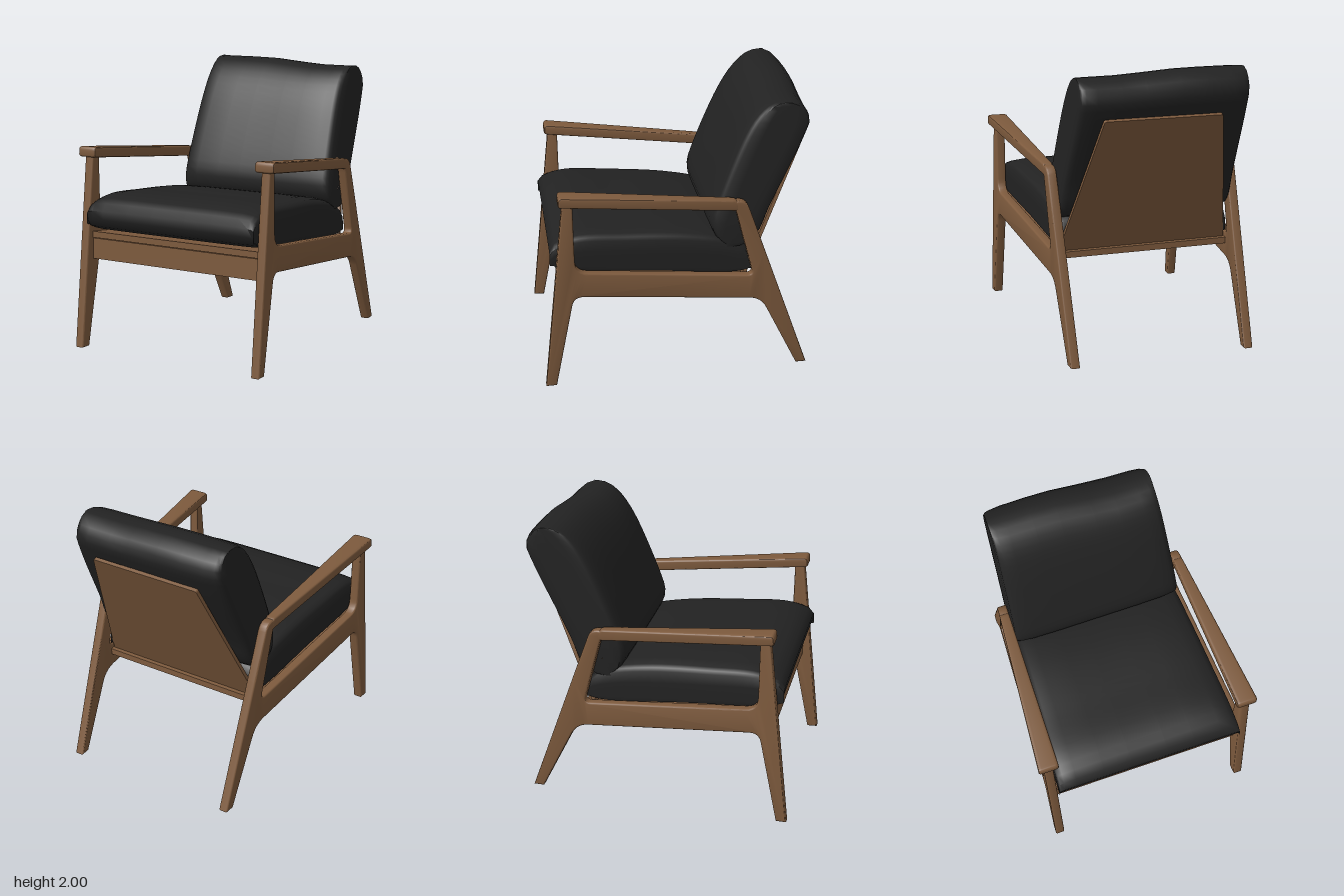
import * as THREE from 'three';
import { toCreasedNormals } from 'three/addons/utils/BufferGeometryUtils.js';

const lerp = THREE.MathUtils.lerp;

// Closed shape from [x, y, cornerRadius] points
function roundedShape(points) {
  const shape = new THREE.Shape();
  const n = points.length;
  points.forEach(([x, y, r = 0], i) => {
    const p = new THREE.Vector2(x, y);
    const toward = (q) => p.clone().add(new THREE.Vector2(q[0], q[1]).sub(p).setLength(r));
    const a = r ? toward(points[(i + n - 1) % n]) : p;
    if (i === 0) shape.moveTo(a.x, a.y);
    else shape.lineTo(a.x, a.y);
    if (r) {
      const b = toward(points[(i + 1) % n]);
      shape.quadraticCurveTo(x, y, b.x, b.y);
    }
  });
  shape.closePath();
  return shape;
}

// Side profile of [z, y, radius] points given a thickness that follows z,
// placed on the line where the sides converge toward the back
function sidePiece(profile, side, halfWidth, bevel) {
  const shape = roundedShape(profile.map(([z, y, r]) => [-z, y, r]));
  const geo = new THREE.ExtrudeGeometry(shape, {
    depth: 2 - 2 * bevel / 0.035, curveSegments: 6, bevelEnabled: true, bevelSegments: 3,
    bevelSize: bevel, bevelOffset: -bevel, bevelThickness: bevel / 0.035,
  });
  geo.translate(0, 0, -1 + bevel / 0.035);
  geo.rotateY(Math.PI / 2);
  const pos = geo.attributes.position;
  for (let i = 0; i < pos.count; i++) {
    const z = pos.getZ(i);
    pos.setX(i, side * (0.686 + 0.052 * z) + pos.getX(i) * halfWidth(z));
  }
  return toCreasedNormals(geo, 0.6);
}

// Cushion: a smooth [z, y] profile swept across x and squashed near the ends
function cushion(profile, squash, place) {
  const curve = new THREE.CatmullRomCurve3(
    profile.map(([z, y]) => new THREE.Vector3(0, y, z)), true, 'centripetal');
  const loop = curve.getSpacedPoints(48).slice(0, 48);
  const n = loop.length;
  const ends = [[1, 0], [1, 0.45], [0.995, 0.78], [0.975, 0.87], [0.93, 0.93], [0.8, 0.98], [0.5, 1], [0.2, 1]];
  const stations = [...ends.map(([u, s]) => [-u, s]), ...ends.map(([u, s]) => [u, s]).reverse()];
  const verts = [], index = [];
  stations.forEach(([u, s], k) => {
    loop.forEach((p, i) => {
      const [z, y] = squash(p.z, p.y, s);
      verts.push(...place(u, y, z));
      if (k === stations.length - 1) return;
      const a = k * n + i, b = a + n;
      const c = k * n + (i + 1) % n, d = c + n;
      index.push(a, b, c, b, d, c);
    });
  });
  const geo = new THREE.BufferGeometry();
  geo.setAttribute('position', new THREE.Float32BufferAttribute(verts, 3));
  geo.setIndex(index);
  return toCreasedNormals(geo, 0.8);
}

export function createModel() {
  const wood = new THREE.MeshStandardMaterial({ color: 0x7d5a3d });
  wood.name = 'walnut wood';
  const fabric = new THREE.MeshStandardMaterial({ color: 0x222222 });
  fabric.name = 'black upholstery';

  const chair = new THREE.Group();
  chair.name = 'armchair';
  const add = (name, geo, mat) => {
    const mesh = new THREE.Mesh(geo, mat);
    mesh.name = name;
    chair.add(mesh);
    return mesh;
  };

  // Side frames: front leg, seat rail and rear leg in one piece, with the armrest on top
  const frameProfile = [
    [0.97, 0], [0.895, 0], [0.757, 0.683, 0.07], [-0.58, 0.55, 0.09], [-0.855, 0], [-0.93, 0],
    [-0.585, 0.96, 0.05], [-0.455, 1.318, 0.07], [-0.34, 1.305], [-0.385, 1.24, 0.03],
    [-0.52, 0.735, 0.05], [0.745, 0.863, 0.09], [0.752, 1.4], [0.82, 1.4],
  ];
  const armProfile = [
    [0.853, 1.37, 0.02], [0.85, 1.446, 0.03], [-0.4, 1.316, 0.04], [-0.41, 1.235, 0.02], [0.78, 1.362, 0.03],
  ];
  const armHalf = (z) => lerp(0.034, 0.073, THREE.MathUtils.clamp((z + 0.4) / 1.25, 0, 1));
  for (const [label, side] of [['left', 1], ['right', -1]]) {
    add(label + 'SideFrame', sidePiece(frameProfile, side, () => 0.034, 0.012), wood);
    add(label + 'Armrest', sidePiece(armProfile, side, armHalf, 0.012), wood);
  }

  // Front rail under the seat
  add('frontRail', new THREE.BoxGeometry(1.4, 0.15, 0.05), wood).position.set(0, 0.71, 0.81);

  // Seat board, tapered and sloping down to the back
  const boardShape = roundedShape([[-0.7, -0.84], [0.7, -0.84], [0.63, 0.5], [-0.63, 0.5]]);
  const board = new THREE.ExtrudeGeometry(boardShape, { depth: 0.045, bevelEnabled: false });
  board.rotateX(-Math.PI / 2);
  const bp = board.attributes.position;
  for (let i = 0; i < bp.count; i++) bp.setY(i, bp.getY(i) + 0.79 + 0.1 * (bp.getZ(i) - 0.84));
  board.computeVertexNormals();
  add('seatBoard', board, wood);

  // Back panel, a leaning trapezoid
  const panelShape = roundedShape([[-0.62, 0], [0.62, 0], [0.42, 1.087, 0.015], [-0.42, 1.087, 0.015]]);
  const panel = new THREE.ExtrudeGeometry(panelShape, { depth: 0.026, bevelEnabled: false });
  panel.translate(0, 0, -0.013);
  panel.rotateX(-0.427);
  add('backPanel', panel, wood).position.set(0, 0.71, -0.46);

  // Seat cushion, wider at the front
  const seatProfile = [
    [0.905, 0.94], [0.905, 1.03], [0.75, 1.105], [0.36, 1.1], [-0.07, 1.065], [-0.35, 1.0],
    [-0.5, 0.9], [-0.5, 0.76], [-0.4, 0.735], [0.2, 0.795], [0.7, 0.84], [0.86, 0.87],
  ];
  add('seatCushion', cushion(seatProfile,
    (z, y, s) => {
      const base = 0.86 + 0.1 * (z - 0.5);
      return [z, base + (y - base) * s];
    },
    (u, y, z) => [u * (0.645 + 0.05 * z), y, z]), fabric);

  // Back cushion, leaning on the panel with an uneven top edge
  const backProfile = [
    [-0.225, 1.12], [-0.25, 1.23], [-0.457, 1.73], [-0.57, 1.9], [-0.68, 1.985], [-0.785, 2.0],
    [-0.89, 1.97], [-0.955, 1.86], [-0.915, 1.74], [-0.66, 1.22], [-0.56, 1.0], [-0.44, 0.94],
    [-0.32, 0.965], [-0.25, 1.02],
  ];
  add('backCushion', cushion(backProfile,
    (z, y, s) => {
      const mid = -0.43 - 0.46 * (y - 1.15);
      return [mid + (z - mid) * s, y];
    },
    (u, y, z) => {
      const t = THREE.MathUtils.clamp((y - 1.1) / 0.9, 0, 1);
      const half = u > 0 ? lerp(0.63, 0.575, t) : lerp(0.63, 0.61, t);
      const sag = 0.035 * t * t * THREE.MathUtils.smoothstep(u, -0.4, 0.6);
      return [u * half, y - sag, z + sag];
    }), fabric);

  return chair;
}
